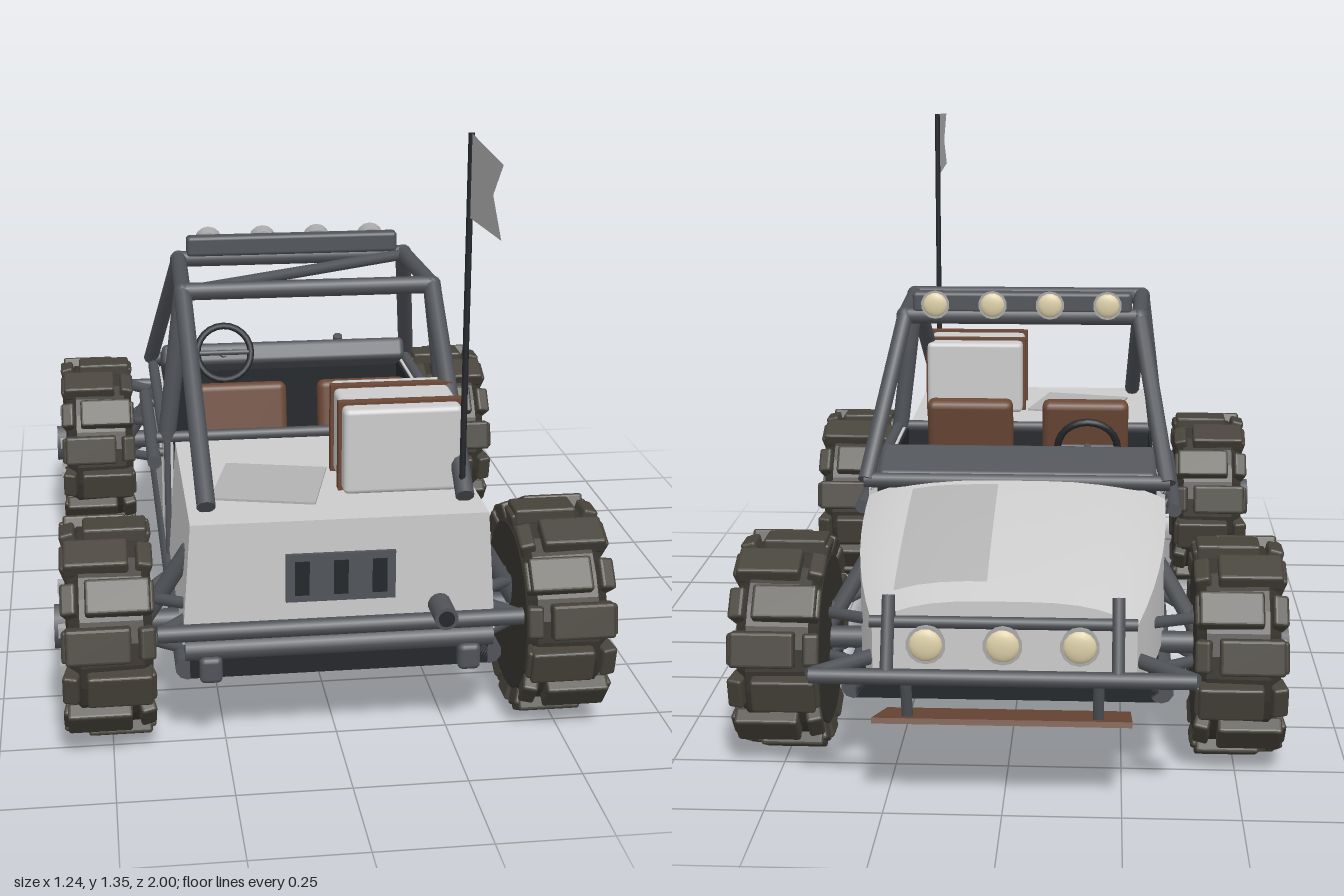
import * as THREE from 'three';
import { toCreasedNormals } from 'three/addons/utils/BufferGeometryUtils.js';
import { RoundedBoxGeometry } from 'three/addons/geometries/RoundedBoxGeometry.js';

const mat = (color, extra = {}) => new THREE.MeshStandardMaterial({ color, ...extra });
const M = {
  body: mat(0xcccccc), panel: mat(0xa9a9a9), steel: mat(0x505358), dark: mat(0x24272b),
  tire: mat(0x38352f, { flatShading: true }), tread: mat(0x46423a, { flatShading: true }),
  rim: mat(0xcccccc, { flatShading: true }), leather: mat(0x6b4836), lamp: mat(0xddd0a8),
  cloth: mat(0xb0b0b0, { side: THREE.DoubleSide }), patch: mat(0xb2b2b2, { side: THREE.DoubleSide }),
};
const V = (p) => new THREE.Vector3(...p);

function add(parent, name, geo, material, pos = [0, 0, 0], rot = [0, 0, 0]) {
  const m = new THREE.Mesh(geo, material);
  m.name = name;
  m.position.set(...pos);
  m.rotation.set(...rot);
  parent.add(m);
  return m;
}
const box = (p, name, size, material, pos, rot) => add(p, name, new THREE.BoxGeometry(...size), material, pos, rot);
const rbox = (p, name, size, r, material, pos, rot) => add(p, name, new RoundedBoxGeometry(...size, 2, r), material, pos, rot);

// Straight tube between two points
function rod(parent, name, a, b, r = 0.018, material = M.steel, sides = 10) {
  const A = V(a), d = V(b).sub(A);
  const m = add(parent, name, new THREE.CylinderGeometry(r, r, d.length(), sides), material);
  m.position.copy(A).addScaledVector(d, 0.5);
  m.quaternion.setFromUnitVectors(new THREE.Vector3(0, 1, 0), d.normalize());
  return m;
}
// Closed loft; sections run clockwise seen from +z, stations go toward -z
function loft(sections) {
  const n = sections[0].length, pos = sections.flat(2), idx = [];
  for (let i = 0; i < sections.length - 1; i++) for (let j = 0; j < n; j++) {
    const a = i * n + j, b = i * n + (j + 1) % n;
    idx.push(a, b, a + n, b, b + n, a + n);
  }
  const e = (sections.length - 1) * n;
  for (let j = 1; j < n - 1; j++) idx.push(e, e + j, e + j + 1, 0, j + 1, j);
  const g = new THREE.BufferGeometry();
  g.setAttribute('position', new THREE.Float32BufferAttribute(pos, 3));
  g.setIndex(idx);
  return toCreasedNormals(g, 0.6);
}

// Hood surface rules
const hoodT = (z) => (-0.38 - z) / 0.51;
const hoodW = (z) => 0.35 - 0.07 * Math.pow(hoodT(z), 2.5);
const hoodY = (x, z) => {
  const t = hoodT(z);
  return 0.57 - 0.09 * t - 0.045 * t * t - 0.05 * Math.pow(Math.abs(x) / hoodW(z), 3.5);
};

// Wheel with its axle along x, outer face toward +x
function wheel() {
  const g = new THREE.Group();
  g.name = 'wheel';
  const profile = [[0, -0.095], [0.19, -0.095], [0.217, -0.075], [0.222, 0.06], [0.195, 0.085], [0.145, 0.09], [0.135, 0.07], [0, 0.07]]
    .map(([r, y]) => new THREE.Vector2(r, y));
  add(g, 'tire', new THREE.LatheGeometry(profile, 28), M.tire, [0, 0, 0], [0, 0, -Math.PI / 2]);
  for (let i = 0; i < 14; i++) {
    const spoke = new THREE.Group();
    spoke.name = 'treadBlock';
    spoke.rotation.x = i * Math.PI / 7;
    const s = i % 2 ? 1 : -1;
    rbox(spoke, 'tread', [0.14, 0.04, 0.078], 0.007, M.tread, [s * 0.022, 0.223, 0]);
    for (const e of [1, -1]) rbox(spoke, 'shoulderLug', [0.035, 0.05, 0.07], 0.007, M.tread, [e * 0.079, 0.208, 0], [0, 0, -e * 0.25]);
    g.add(spoke);
  }
  const disc = (name, r, x0, x1, sides, m) => add(g, name, new THREE.CylinderGeometry(r, r, x1 - x0, sides), m, [(x0 + x1) / 2, 0, 0], [0, 0, -Math.PI / 2]);
  disc('rim', 0.138, 0.05, 0.09, 12, M.rim);
  disc('hub', 0.052, 0.08, 0.117, 8, M.steel);
  for (let i = 0; i < 5; i++) {
    const a = i * Math.PI * 0.4;
    box(g, 'bolt', [0.02, 0.024, 0.024], M.panel, [0.097, 0.096 * Math.cos(a), 0.096 * Math.sin(a)]);
  }
  return g;
}

// Round lamp facing -z
function lamp(parent, x, y, z, r) {
  const g = new THREE.Group();
  g.name = 'lamp';
  g.position.set(x, y, z);
  add(g, 'lampHousing', new THREE.CylinderGeometry(r, r * 0.8, 0.04, 14), M.panel, [0, 0, 0], [-Math.PI / 2, 0, 0]);
  add(g, 'lampLens', new THREE.SphereGeometry(r * 0.85, 14, 5, 0, Math.PI * 2, 0, Math.PI / 2), M.lamp, [0, 0, -0.019], [-Math.PI / 2, 0, 0]).scale.y = 0.35;
  parent.add(g);
}

export function createModel() {
  const car = new THREE.Group();
  car.name = 'duneBuggy';

  // Nose and hood
  const sections = [];
  for (let i = 0; i <= 8; i++) {
    const z = -0.38 - 0.51 * i / 8, w = hoodW(z), s = [[-w, 0.25, z]];
    for (let j = 0; j <= 16; j++) {
      const x = w * Math.sin((j / 8 - 1) * Math.PI / 2);
      s.push([x, hoodY(x, z), z]);
    }
    s.push([w, 0.25, z]);
    sections.push(s);
  }
  add(car, 'nose', loft(sections), M.body);
  const hp = new THREE.PlaneGeometry(0.2, 0.4, 4, 8).rotateX(-Math.PI / 2).translate(0.14, 0, -0.63);
  const p = hp.attributes.position;
  for (let i = 0; i < p.count; i++) p.setY(i, hoodY(p.getX(i), p.getZ(i)) + 0.004);
  hp.computeVertexNormals();
  add(car, 'hoodPatch', hp, M.patch);

  // Rear body, deck patch and vent
  const rear = (z) => [[-0.345, 0.26, z], [-0.325, 0.535, z], [0.325, 0.535, z], [0.345, 0.26, z]];
  add(car, 'rearBody', loft([rear(0.795), rear(0.25)]), M.body);
  box(car, 'deckPatch', [0.235, 0.006, 0.23], M.patch, [-0.13, 0.537, 0.565], [0, -0.24, 0]);
  box(car, 'ventPlate', [0.24, 0.11, 0.012], M.steel, [0, 0.405, 0.798]);
  for (const x of [-0.085, 0, 0.085]) box(car, 'ventSlot', [0.032, 0.078, 0.012], M.dark, [x, 0.405, 0.801]);

  // Cabin floor and dashboard
  box(car, 'floorPan', [0.66, 0.07, 1.6], M.dark, [0, 0.215, 0]);
  box(car, 'firewall', [0.67, 0.29, 0.02], M.dark, [0, 0.405, -0.365]);
  box(car, 'bulkhead', [0.66, 0.28, 0.01], M.dark, [0, 0.39, 0.244]);
  rbox(car, 'dashboard', [0.66, 0.06, 0.12], 0.015, M.steel, [0, 0.575, -0.325], [-0.45, 0, 0]);
  add(car, 'steeringWheel', new THREE.TorusGeometry(0.072, 0.009, 8, 24), M.dark, [-0.165, 0.61, -0.245], [-0.35, 0, 0]);
  rod(car, 'steeringColumn', [-0.165, 0.61, -0.245], [-0.165, 0.56, -0.37], 0.011);
  rod(car, 'steeringSpoke', [-0.235, 0.61, -0.245], [-0.095, 0.61, -0.245], 0.007);
  for (const x of [-0.155, 0.148]) {
    rbox(car, 'seatCushion', [0.225, 0.09, 0.24], 0.02, M.leather, [x, 0.36, 0.03]);
    rbox(car, 'seatBack', [0.225, 0.31, 0.05], 0.018, M.leather, [x, 0.49, 0.16], [-0.2, 0, 0]);
    box(car, 'seatBase', [0.19, 0.08, 0.2], M.dark, [x, 0.28, 0.04]);
  }

  // Mirrored sides: doors, frame, roll cage, suspension, wheels
  for (const s of [1, -1]) {
    const side = new THREE.Group();
    side.name = s > 0 ? 'leftSide' : 'rightSide';
    car.add(side);
    const bar = (name, a, b, r) => rod(side, name, [a[0] * s, a[1], a[2]], [b[0] * s, b[1], b[2]], r);
    box(side, 'doorPanel', [0.02, 0.29, 0.63], M.body, [s * 0.34, 0.4, -0.065]);
    box(side, 'doorLining', [0.008, 0.28, 0.62], M.dark, [s * 0.327, 0.4, -0.065]);
    box(side, 'doorPatch', [0.008, 0.16, 0.38], M.patch, [s * 0.35, 0.38, -0.05]);
    bar('doorRail', [0.35, 0.545, 0.25], [0.35, 0.545, -0.38], 0.014);
    bar('sideGuard', [0.375, 0.475, 0.225], [0.375, 0.475, -0.32], 0.017);
    for (const z of [0.15, -0.25]) bar('guardMount', [0.34, 0.475, z], [0.375, 0.475, z], 0.011);
    bar('sill', [0.335, 0.205, 0.8], [0.335, 0.205, -0.8], 0.027);
    bar('doorPost', [0.345, 0.25, 0.255], [0.345, 0.54, 0.255], 0.008);
    bar('mainHoop', [0.345, 0.54, 0.235], [0.3, 0.905, 0.235], 0.022);
    bar('roofRail', [0.3, 0.905, 0.235], [0.29, 0.905, -0.1], 0.02);
    bar('windshieldPost', [0.29, 0.905, -0.1], [0.355, 0.56, -0.39], 0.02);
    bar('rearBrace', [0.3, 0.905, 0.235], [0.285, 0.55, 0.73], 0.021);
    for (const [x, z] of [[0.3, 0.235], [0.29, -0.1]]) add(side, 'cageJoint', new THREE.SphereGeometry(0.022, 12, 8), M.steel, [s * x, 0.905, z]);
    bar('bumperArm', [0.4, 0.3, -0.98], [0.28, 0.3, -0.86], 0.016);
    bar('bumperPost', [0.24, 0.3, -0.98], [0.24, 0.455, -0.915], 0.014);
    bar('bumperBrace', [0.24, 0.445, -0.92], [0.24, 0.36, -0.87], 0.012);
    bar('skidStrut', [0.2, 0.3, -0.98], [0.2, 0.2, -0.95], 0.012);
    bar('rearBumperArm', [0.39, 0.3, 0.82], [0.33, 0.3, 0.75], 0.016);
    rbox(side, 'towMount', [0.05, 0.06, 0.05], 0.012, M.steel, [s * 0.285, 0.205, 0.8]);
    for (const z of [0.64, -0.61]) {
      bar('axle', [0.28, 0.25, z], [0.43, 0.25, z], 0.025);
      for (const d of [0.13, -0.13]) {
        bar('lowerArm', [0.31, 0.23, z + d], [0.43, 0.21, z], 0.013);
        bar('upperArm', [0.31, 0.34, z + d], [0.43, 0.31, z], 0.013);
      }
      bar('shockAbsorber', [0.32, 0.44, z + 0.05], [0.42, 0.27, z + 0.02], 0.02);
      const w = wheel();
      w.position.set(s * 0.505, 0.247, z);
      if (s < 0) w.rotation.y = Math.PI;
      side.add(w);
    }
  }

  // Cross tubes
  rod(car, 'hoopTop', [-0.3, 0.905, 0.235], [0.3, 0.905, 0.235], 0.021);
  rod(car, 'roofFront', [-0.29, 0.905, -0.1], [0.29, 0.905, -0.1], 0.02);
  rod(car, 'roofDiagonal', [-0.3, 0.905, 0.235], [0.28, 0.905, -0.08], 0.014);
  rod(car, 'hoopBase', [-0.37, 0.545, 0.24], [0.37, 0.545, 0.24], 0.014);
  rod(car, 'cowlTube', [-0.36, 0.56, -0.385], [0.36, 0.56, -0.385], 0.018);
  rod(car, 'rearBumper', [-0.4, 0.3, 0.825], [0.4, 0.3, 0.825], 0.019);
  rod(car, 'rearCrossTube', [-0.34, 0.245, 0.79], [0.34, 0.245, 0.79], 0.025);
  rod(car, 'frontBumper', [-0.4, 0.3, -0.982], [0.4, 0.3, -0.982], 0.017);
  rod(car, 'bumperTop', [-0.28, 0.4, -0.925], [0.28, 0.4, -0.925], 0.013);
  box(car, 'skidPlate', [0.54, 0.012, 0.28], M.leather, [0, 0.168, -0.868], [0.31, 0, 0]);
  for (const x of [-0.16, 0, 0.16]) lamp(car, x, 0.36, -0.935, 0.042);

  // Roof light bar
  rbox(car, 'lightBar', [0.54, 0.052, 0.04], 0.01, M.steel, [0, 0.94, -0.095]);
  for (let i = 0; i < 4; i++) lamp(car, -0.21 + 0.14 * i, 0.941, -0.133, 0.035);

  // Luggage, straps, exhaust
  rbox(car, 'trunk', [0.265, 0.197, 0.235], 0.012, M.body, [0.158, 0.637, 0.548]);
  for (const z of [0.49, 0.615]) box(car, 'strap', [0.28, 0.205, 0.024], M.leather, [0.158, 0.639, z]);
  add(car, 'exhaust', new THREE.CylinderGeometry(0.026, 0.026, 0.1, 14), M.steel, [0.22, 0.325, 0.825], [Math.PI / 2, 0, 0]);
  add(car, 'exhaustBore', new THREE.CylinderGeometry(0.018, 0.018, 0.005, 14), M.dark, [0.22, 0.325, 0.875], [Math.PI / 2, 0, 0]);

  // Flag pole and notched pennant
  rod(car, 'flagPole', [0.282, 0.53, 0.71], [0.282, 1.35, 0.71], 0.007, M.dark, 8);
  const flag = new THREE.Shape([[-0.71, 1.35], [-1, 1.335], [-0.92, 1.26], [-1, 1.185], [-0.71, 1.17]].map((q) => new THREE.Vector2(...q)));
  add(car, 'flag', new THREE.ShapeGeometry(flag), M.cloth, [0.282, 0, 0], [0, Math.PI / 2, 0]);
  return car;
}
